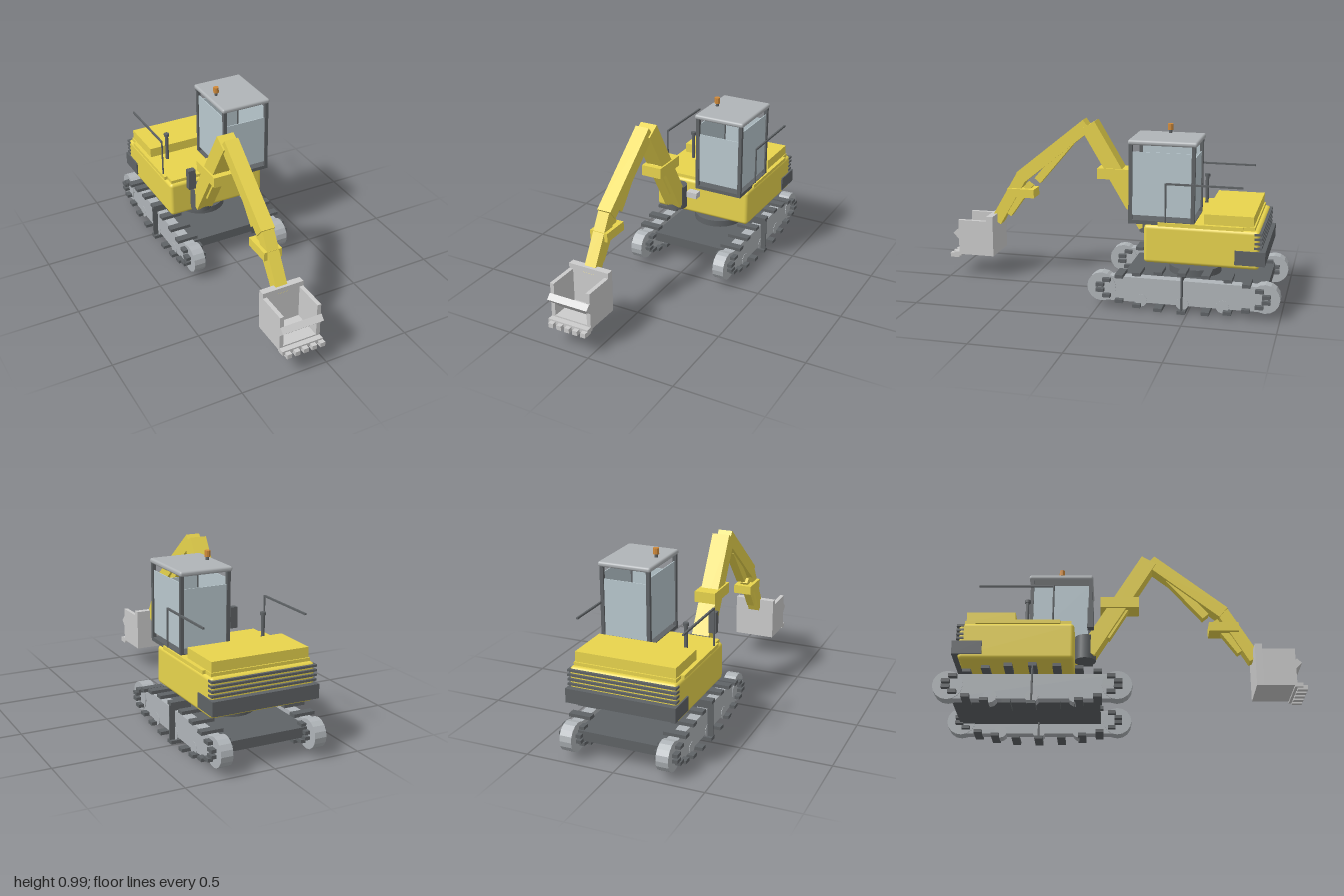
import * as THREE from 'three';
import { RoundedBoxGeometry } from 'three/addons/geometries/RoundedBoxGeometry.js';

const mat = (color, extra = {}) => new THREE.MeshStandardMaterial({ color, ...extra });
const YELLOW = mat(0xe8d44d);
const DARK = mat(0x5f6366);
const STEEL = mat(0xb0b5b9, { flatShading: true });
const GREY = mat(0xcccccc);
const GLASS = mat(0xb9c8ce, { side: THREE.DoubleSide });
const ORANGE = mat(0xd08a3a, { flatShading: true });

export function createModel() {
  const root = new THREE.Group();

  const add = (parent, name, geo, material, x = 0, y = 0, z = 0) => {
    const m = new THREE.Mesh(geo, material);
    m.name = name;
    m.position.set(x, y, z);
    parent.add(m);
    return m;
  };
  const group = (name) => {
    const g = new THREE.Group();
    g.name = name;
    root.add(g);
    return g;
  };
  // box from its min and max along each axis
  const box = (parent, name, material, [x0, x1], [y0, y1], [z0, z1], radius = 0) => {
    const s = [x1 - x0, y1 - y0, z1 - z0];
    const geo = radius ? new RoundedBoxGeometry(...s, 3, radius) : new THREE.BoxGeometry(...s);
    return add(parent, name, geo, material, (x0 + x1) / 2, (y0 + y1) / 2, (z0 + z1) / 2);
  };
  // straight beam between two [z, y] points in the digging plane
  const ARM_X = -0.135;
  const beam = (parent, name, [z0, y0], [z1, y1], width, depth, material = YELLOW) => {
    const geo = new THREE.BoxGeometry(width, depth, Math.hypot(z1 - z0, y1 - y0));
    const m = add(parent, name, geo, material, ARM_X, (y0 + y1) / 2, (z0 + z1) / 2);
    m.rotation.x = -Math.atan2(y1 - y0, z1 - z0);
    return m;
  };
  const axle = (r, width, sides) => new THREE.CylinderGeometry(r, r, width, sides).rotateZ(Math.PI / 2);

  // crawler tracks: frame, wheels and an oval ring of pads
  const PADS = 22;
  for (const side of [1, -1]) {
    const track = group(side > 0 ? 'leftTrack' : 'rightTrack');
    const x = 0.27 * side;
    add(track, 'trackFrame', new THREE.BoxGeometry(0.06, 0.14, 0.92), STEEL, x, 0.11, -0.47);
    for (const z of [-0.02, -0.917]) add(track, 'endWheel', axle(0.081, 0.068, 16), STEEL, x, 0.115, z);
    for (const z of [-0.24, -0.47, -0.69]) add(track, 'roadWheel', axle(0.036, 0.064, 12), STEEL, x, 0.052, z);
    add(track, 'centreBrace', new THREE.BoxGeometry(0.124, 0.21, 0.008), DARK, x, 0.117, -0.47);
    for (let i = 0; i < PADS; i++) {
      const a = (i / PADS) * Math.PI * 2;
      add(track, 'trackPad', new THREE.BoxGeometry(0.125, 0.019, 0.045), DARK,
        x, 0.117 + 0.108 * Math.cos(a), -0.47 + 0.46 * Math.sin(a));
    }
  }

  // chassis slab and slewing ring
  const chassis = group('chassis');
  box(chassis, 'chassisSlab', DARK, [-0.24, 0.24], [0.1, 0.155], [-0.92, -0.115]);
  add(chassis, 'slewRing', new THREE.CylinderGeometry(0.148, 0.148, 0.04, 24), DARK, 0, 0.174, -0.492);

  // upper house with hood, counterweight and vents
  const house = group('house');
  box(house, 'houseBody', YELLOW, [-0.3, 0.3], [0.27, 0.482], [-0.877, -0.253], 0.02);
  box(house, 'deck', YELLOW, [-0.285, 0.285], [0.478, 0.5], [-0.85, -0.27]);
  box(house, 'engineHood', YELLOW, [-0.28, 0.28], [0.49, 0.556], [-0.842, -0.577]);
  box(house, 'counterweight', DARK, [-0.308, 0.308], [0.295, 0.373], [-0.91, -0.748]);
  for (let i = 0; i < 4; i++) {
    const y = 0.385 + i * 0.025;
    box(house, 'ventSlat', DARK, [-0.303, 0.303], [y, y + 0.012], [-0.89, -0.85]);
  }
  for (const side of [1, -1]) {
    const x = 0.293 * side;
    add(house, 'sideStrip', new THREE.BoxGeometry(0.02, 0.02, 0.46), YELLOW, x, 0.49, -0.56);
    add(house, 'railPost', new THREE.CylinderGeometry(0.005, 0.005, 0.22, 8), DARK, x, 0.605, -0.37);
    add(house, 'handRail', new THREE.BoxGeometry(0.01, 0.01, 0.41), DARK, x, 0.712, -0.578);
  }
  add(house, 'exhaustPipe', new THREE.CylinderGeometry(0.01, 0.01, 0.19, 12), DARK, -0.197, 0.575, -0.52);
  add(house, 'exhaustCap', new THREE.CylinderGeometry(0.016, 0.016, 0.016, 12), DARK, -0.197, 0.662, -0.52);
  box(house, 'frontToolBox', DARK, [-0.23, -0.186], [0.49, 0.612], [-0.185, -0.15]);
  box(house, 'workLamp', GREY, [-0.077, -0.01], [0.39, 0.425], [-0.26, -0.205]);

  // cab: base frame, four posts, window panes, roof and beacon
  const cab = group('cab');
  const CX = [0.005, 0.293], CZ = [-0.527, -0.167];
  box(cab, 'cabFloor', DARK, CX, [0.483, 0.504], CZ);
  for (const x of [0.005, 0.273]) for (const z of [-0.527, -0.187]) {
    box(cab, 'cabPost', DARK, [x, x + 0.02], [0.5, 0.918], [z, z + 0.02]);
  }
  box(cab, 'frontWindow', GLASS, [0.025, 0.273], [0.53, 0.822], [-0.181, -0.176]);
  box(cab, 'rearWindow', GLASS, [0.025, 0.273], [0.53, 0.845], [-0.518, -0.513]);
  for (const x of [0.013, 0.28]) box(cab, 'sideWindow', GLASS, [x, x + 0.005], [0.53, 0.877], [-0.507, -0.187]);
  box(cab, 'cabRoof', mat(0xb0b4b7), [-0.003, 0.3], [0.914, 0.942], [-0.537, -0.162], 0.012);
  add(cab, 'beaconBase', new THREE.CylinderGeometry(0.009, 0.009, 0.025, 10), DARK, 0.048, 0.95, -0.347);
  add(cab, 'beacon', new THREE.CylinderGeometry(0.016, 0.016, 0.034, 10), ORANGE, 0.048, 0.977, -0.347);

  // digging arm: pivot, boom, stick, collars and rams
  const arm = group('diggingArm');
  add(arm, 'boomPivot', new THREE.CylinderGeometry(0.06, 0.06, 0.14, 16), DARK, ARM_X, 0.395, -0.197);
  beam(arm, 'boom', [-0.185, 0.366], [0.16, 0.94], 0.1, 0.092);
  beam(arm, 'boomRam', [-0.08, 0.465], [0.06, 0.7], 0.05, 0.04);
  box(arm, 'boomCollar', YELLOW, [-0.195, -0.075], [0.632, 0.694], [-0.115, 0.102]);
  beam(arm, 'upperStick', [0.168, 0.939], [0.575, 0.61], 0.082, 0.075);
  beam(arm, 'upperStickRam', [0.275, 0.83], [0.475, 0.592], 0.05, 0.045);
  beam(arm, 'lowerStick', [0.57, 0.617], [0.737, 0.33], 0.068, 0.068);
  beam(arm, 'lowerStickRam', [0.525, 0.565], [0.66, 0.375], 0.045, 0.038);
  box(arm, 'stickCollar', YELLOW, [-0.188, -0.082], [0.49, 0.541], [0.49, 0.655]);

  // bucket with angled cross plate, lip and five teeth
  const bucket = group('bucket');
  const BX = [-0.255, -0.013];
  box(bucket, 'bucketBack', GREY, BX, [0.14, 0.35], [0.727, 0.765]);
  for (const x of [BX[0], BX[1] - 0.023]) {
    box(bucket, 'bucketSide', GREY, [x, x + 0.023], [0.14, 0.348], [0.729, 0.943]);
  }
  box(bucket, 'bucketBackRim', GREY, BX, [0.345, 0.378], [0.727, 0.766]);
  box(bucket, 'bucketFloor', GREY, BX, [0.136, 0.158], [0.727, 0.943]);
  const plate = beam(bucket, 'crossPlate', [0.895, 0.21], [0.963, 0.278], BX[1] - BX[0], 0.038, GREY);
  plate.position.x = (BX[0] + BX[1]) / 2;
  box(bucket, 'bucketLip', GREY, BX, [0.126, 0.15], [0.93, 0.975]);
  for (let i = 0; i < 5; i++) {
    const x = -0.24 + i * 0.0495;
    box(bucket, 'bucketTooth', GREY, [x, x + 0.029], [0.115, 0.141], [0.945, 1]);
  }

  return root;
}
